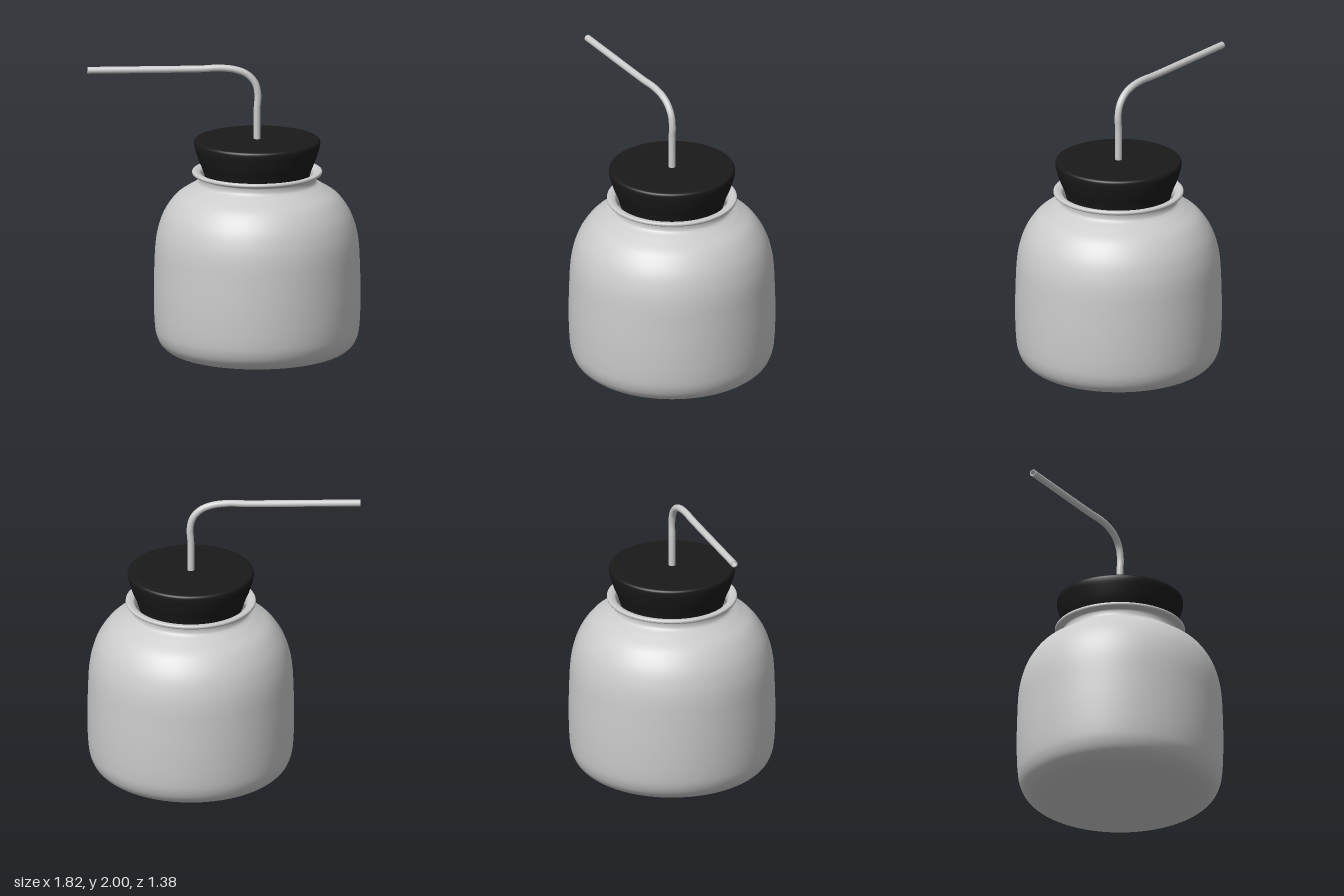
import * as THREE from 'three';

const AXIS_X = 0.22; // jar axis, offset to balance the long straw

const vec2 = ([x, y]) => new THREE.Vector2(x, y);

// Smooth lathe: a spline through a few radius/height pairs
function turned(name, points, samples, material) {
  const profile = new THREE.SplineCurve(points.map(vec2)).getPoints(samples);
  profile.forEach((p) => { p.x = Math.max(p.x, 0); });
  const mesh = new THREE.Mesh(new THREE.LatheGeometry(profile, 96), material);
  mesh.name = name;
  mesh.position.x = AXIS_X;
  return mesh;
}

export function createModel() {
  const group = new THREE.Group();
  group.name = 'jarWithStraw';
  const grey = new THREE.MeshStandardMaterial({ color: 0xcccccc, side: THREE.DoubleSide });
  const black = new THREE.MeshStandardMaterial({ color: 0x1a1a1a });

  // Jar: outer wall, flared lip, then back down the inner wall
  group.add(turned('jar', [
    [0, 0.004], [0.2, 0.005], [0.4, 0.014], [0.55, 0.036], [0.63, 0.08], [0.67, 0.15],
    [0.685, 0.25], [0.69, 0.42], [0.687, 0.6], [0.678, 0.78], [0.655, 0.9], [0.615, 1.0],
    [0.545, 1.095], [0.455, 1.156], [0.405, 1.185], [0.39, 1.205], [0.39, 1.235],
    [0.405, 1.245], [0.428, 1.25], [0.435, 1.262], [0.428, 1.274], [0.4, 1.272],
    [0.375, 1.255], [0.368, 1.2], [0.4, 1.155], [0.52, 1.07], [0.59, 1.0], [0.635, 0.88],
    [0.665, 0.6], [0.665, 0.3], [0.64, 0.14], [0.54, 0.065], [0.3, 0.035], [0, 0.03],
  ], 200, grey));

  // Stopper: tapered plug with rounded top and bottom edges
  group.add(turned('stopper', [
    [0, 1.17], [0.15, 1.17], [0.29, 1.17], [0.325, 1.18], [0.345, 1.22], [0.365, 1.285],
    [0.392, 1.35], [0.414, 1.42], [0.421, 1.455], [0.418, 1.477], [0.4, 1.487],
    [0.34, 1.49], [0.2, 1.49], [0.05, 1.49], [0, 1.49],
  ], 90, black));

  // Straw: open bent tube
  const path = new THREE.CatmullRomCurve3([
    [0.22, 1.1], [0.22, 1.4], [0.22, 1.7], [0.225, 1.79], [0.207, 1.87], [0.155, 1.93],
    [0.08, 1.963], [-0.03, 1.977], [-0.14, 1.973], [-0.25, 1.972], [-0.58, 1.972], [-0.913, 1.972],
  ].map(([x, y]) => new THREE.Vector3(x, y, 0)));
  const straw = new THREE.Mesh(new THREE.TubeGeometry(path, 120, 0.023, 20), grey);
  straw.name = 'straw';
  group.add(straw);

  // Straw bore: slightly narrower inner wall joined by an end ring
  const bore = new THREE.Mesh(new THREE.TubeGeometry(path, 120, 0.018, 20), grey);
  bore.name = 'strawBore';
  const tip = new THREE.Mesh(new THREE.RingGeometry(0.018, 0.023, 20), grey);
  tip.name = 'strawTip';
  tip.position.set(-0.913, 1.972, 0);
  tip.rotation.y = -Math.PI / 2;
  group.add(bore, tip);

  return group;
}
